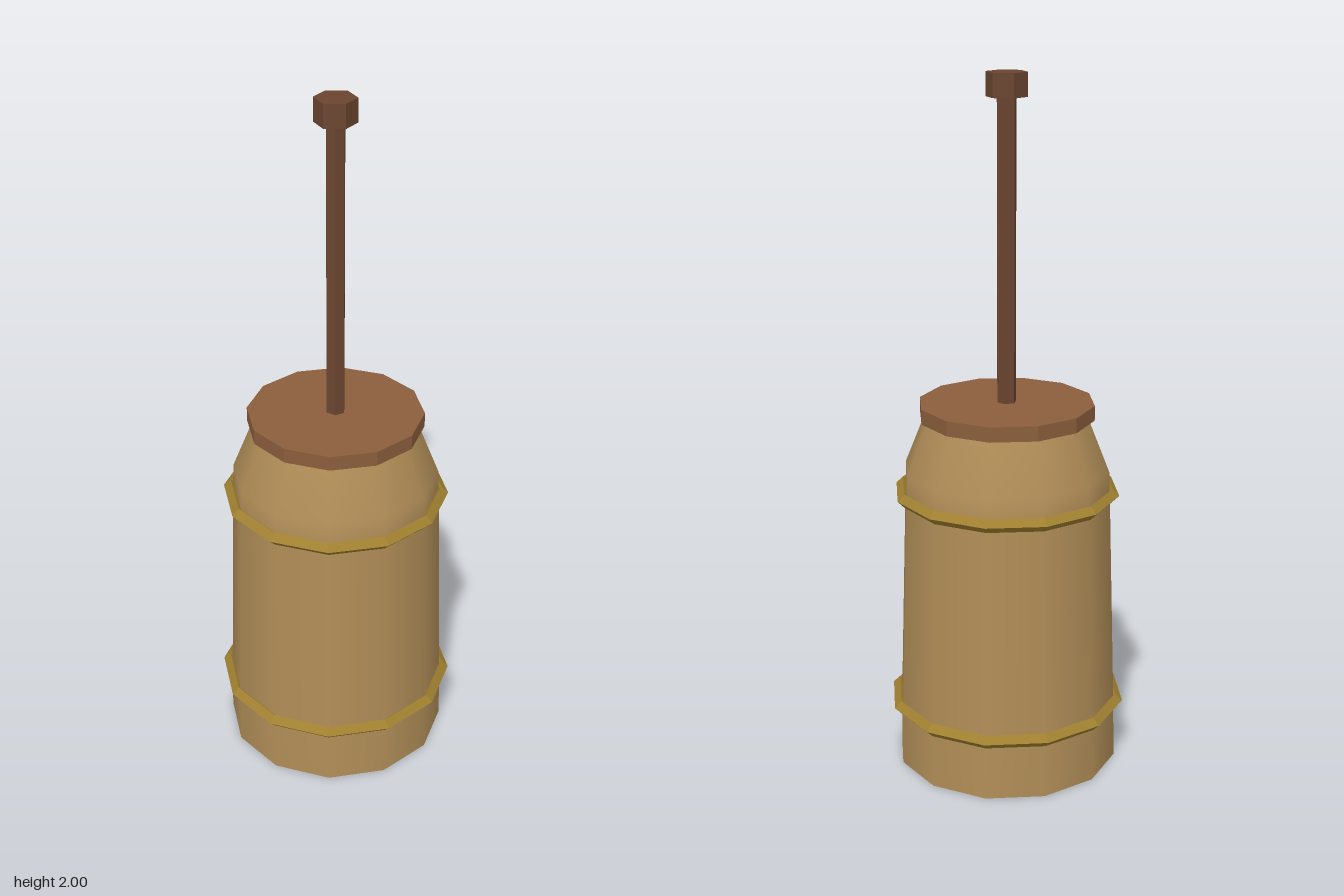
import * as THREE from 'three';

const SIDES = 12;

export function createModel() {
  const model = new THREE.Group();
  model.name = 'butterChurn';

  const add = (name, geometry, color, y, flatShading = true) => {
    const mesh = new THREE.Mesh(geometry, new THREE.MeshStandardMaterial({ color, flatShading }));
    mesh.name = name;
    mesh.position.y = y;
    model.add(mesh);
    return mesh;
  };

  // Tapered barrel with a sloping shoulder, smooth around its staves
  const profile = [[0.325, 0], [0.321, 0.18], [0.299, 0.82], [0.296, 0.89], [0.232, 1.05]]
    .map(([r, y]) => new THREE.Vector2(r, y));
  add('barrel', new THREE.LatheGeometry(profile, SIDES), 0xb08d57, 0, false);
  const base = add('barrelBase', new THREE.CircleGeometry(0.325, SIDES), 0xb08d57, 0);
  base.rotation.x = Math.PI / 2;

  // Diamond-section hoops
  for (const [name, radius, y] of [['lowerHoop', 0.327, 0.18], ['upperHoop', 0.306, 0.82]]) {
    const hoop = add(name, new THREE.TorusGeometry(radius, 0.02, 4, SIDES), 0xa08030, y);
    hoop.rotation.x = Math.PI / 2;
  }

  // Lid
  add('lid', new THREE.CylinderGeometry(0.252, 0.252, 0.043, SIDES), 0x8b5e3c, 1.0615);

  // Plunger rod and its hexagonal knob
  const rod = add('plungerRod', new THREE.CylinderGeometry(0.028, 0.028, 0.88, 6), 0x6b4530, 1.5);
  rod.rotation.y = Math.PI / 6;
  add('plungerKnob', new THREE.CylinderGeometry(0.058, 0.058, 0.066, 6), 0x6b4530, 1.967);

  return model;
}
